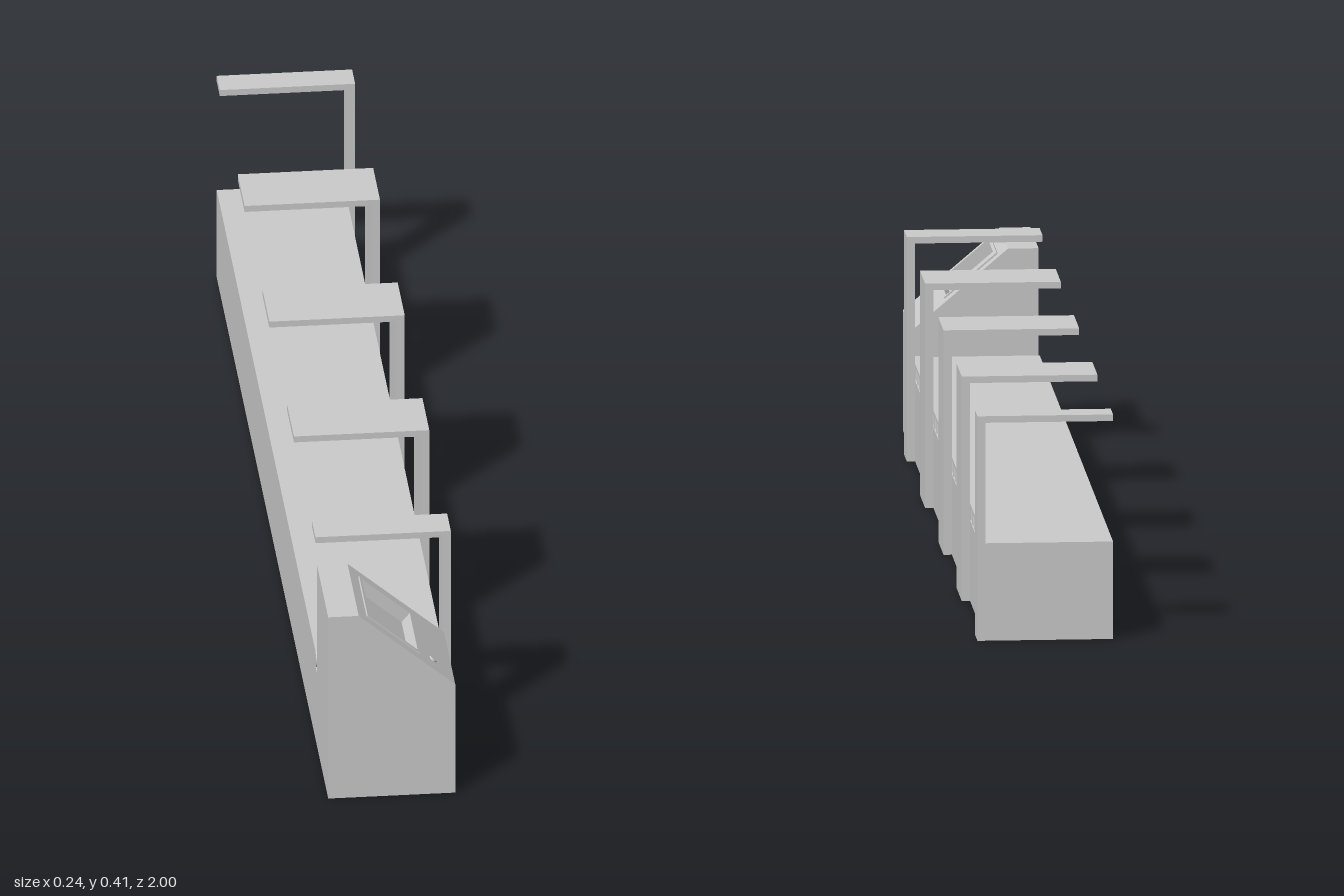
import * as THREE from 'three';

const mat = new THREE.MeshStandardMaterial({ color: 0xcccccc });
const L = -0.122, R = 0.107, POST = 0.122; // left, right and outer post planes

export function createModel() {
  const root = new THREE.Group();

  const add = (name, geo, parent = root) => {
    const m = new THREE.Mesh(geo, mat);
    m.name = name;
    parent.add(m);
    return m;
  };
  const box = (name, x0, x1, y0, y1, z0, z1, parent = root) => {
    const m = add(name, new THREE.BoxGeometry(x1 - x0, y1 - y0, z1 - z0), parent);
    m.position.set((x0 + x1) / 2, (y0 + y1) / 2, (z0 + z1) / 2);
    return m;
  };
  const toShape = pts => new THREE.Shape(pts.map(p => new THREE.Vector2(...p)));
  const extrude = (shape, depth) =>
    new THREE.ExtrudeGeometry(shape, { depth, bevelEnabled: false, curveSegments: 8 });

  // Long base under the bed
  box('base', L, R, 0, 0.147, -1, 0.8);

  // Bed: side profile in (z, y) with a rounded front end, extruded across x
  const bed = (name, x0, x1, y0) => {
    const s = new THREE.Shape();
    const r = (0.178 - y0) / 2;
    s.moveTo(-1, y0);
    s.lineTo(0.784 - r, y0);
    s.absarc(0.784 - r, y0 + r, r, -Math.PI / 2, Math.PI / 2, false);
    s.lineTo(-1, 0.178);
    const m = add(name, extrude(s, x1 - x0).rotateY(-Math.PI / 2));
    m.position.x = x1;
  };
  bed('bedCore', L, 0.08, 0.147);
  bed('bedCover', 0.08, R, 0.172);
  box('bedEndBlock', 0.08, R, 0.147, 0.172, -1, -0.96);

  // Row of small upright rollers along the open side of the bed
  const rollers = new THREE.Group();
  rollers.name = 'sideRollers';
  root.add(rollers);
  const rollerGeo = new THREE.CylinderGeometry(0.013, 0.013, 0.025, 14);
  for (let i = 0; i < 38; i++) {
    add('roller', rollerGeo, rollers).position.set(R - 0.0135, 0.1595, 0.76 - i * 0.0459);
  }

  // Arches: a flat post on the right with an arm across the bed
  const spans = [[0.705, 0.772], [0.262, 0.385], [-0.182, -0.056], [-0.622, -0.5], [-1, -0.945]];
  for (const [z0, z1] of spans) {
    const s = toShape([[R, 0], [POST, 0], [POST, 0.41], [L, 0.41], [L, 0.398], [R, 0.398]]);
    add('arch', extrude(s, z1 - z0)).position.z = z0;
  }

  // Console: three slices, the middle one notched to form the screen recess
  const console_ = new THREE.Group();
  console_.name = 'controlConsole';
  root.add(console_);
  const slopeY = x => 0.368 - 0.8506 * (x + 0.067);
  const angle = Math.atan(0.8506), nx = Math.sin(angle), ny = Math.cos(angle);
  const [a, b, d] = [-0.046, 0.04, 0.02];
  const recess = [
    [b, slopeY(b)], [b - nx * d, slopeY(b) - ny * d],
    [a - nx * d, slopeY(a) - ny * d], [a, slopeY(a)],
  ];
  const slice = (z0, z1, notch) => {
    const s = toShape([[L, 0], [R, 0], [R, 0.22], ...notch, [-0.067, 0.368], [L, 0.368]]);
    add('consoleBody', extrude(s, z1 - z0), console_).position.z = z0;
  };
  slice(0.8, 0.832, []);
  slice(0.832, 0.972, recess);
  slice(0.972, 1, []);

  // Sloped panel frame: local x runs down the slope, y is its normal
  const panel = new THREE.Group();
  panel.name = 'slopedPanel';
  panel.position.set((a + b) / 2, slopeY((a + b) / 2), 0.902);
  panel.rotation.z = -angle;
  console_.add(panel);
  const h = (b - a) / 2 / ny, w = 0.07, e = 0.006, t = 0.003;
  for (const s of [-1, 1]) {
    const bar = (n, sx, sz, x, z) =>
      add(n, new THREE.BoxGeometry(sx, t, sz), panel).position.set(x, t / 2, z);
    bar('screenRimEnd', e, 2 * (w + e), s * (h + e / 2), 0);
    bar('screenRimSide', 2 * h, e, 0, s * (w + e / 2));
  }
  const button = add('button', new THREE.CylinderGeometry(0.008, 0.008, 0.004, 20), panel);
  button.position.set((0.071 - (a + b) / 2) / ny, 0.001, 0.056);

  return root;
}
